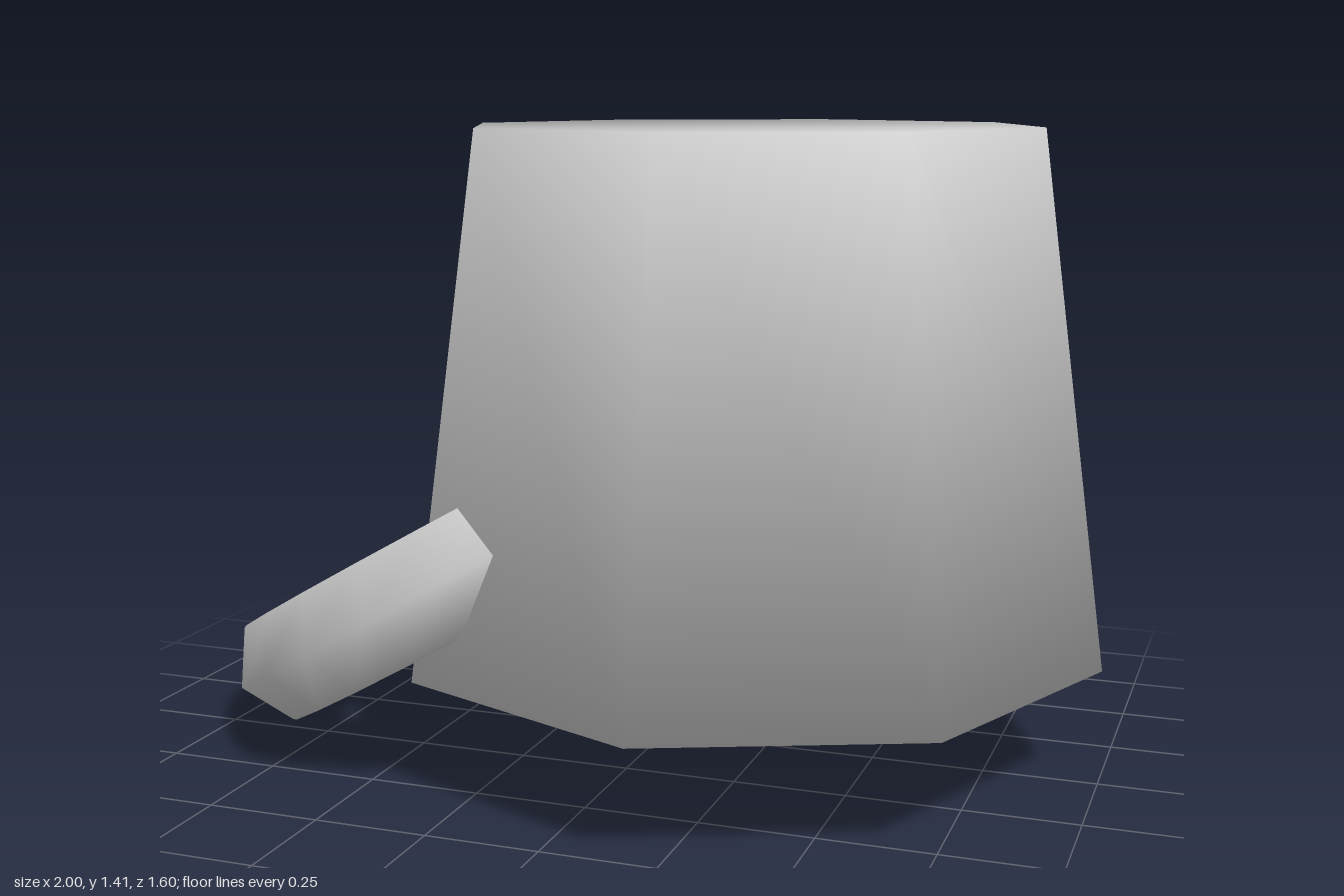
import * as THREE from 'three';

// Skins a list of closed cross-sections and closes both ends
function skin(rings) {
  const m = rings[0].length, last = (rings.length - 1) * m, index = [];
  for (let i = 0; i < rings.length - 1; i++) {
    for (let j = 0; j < m; j++) {
      const k = (j + 1) % m;
      const a = i * m + j, b = i * m + k;
      index.push(a, b, a + m, b, b + m, a + m);
    }
  }
  for (let j = 1; j < m - 1; j++) {
    index.push(0, j + 1, j, last, last + j, last + j + 1);
  }
  const geometry = new THREE.BufferGeometry().setFromPoints(rings.flat());
  geometry.setIndex(index);
  geometry.computeVertexNormals();
  return geometry;
}

// One regular loop of n points, placed by a function of the angle
function loop(n, place) {
  return Array.from({ length: n }, (_, j) => place((j / n) * Math.PI * 2));
}

export function createModel() {
  const group = new THREE.Group();
  const material = new THREE.MeshStandardMaterial({ color: 0xcccccc, side: THREE.DoubleSide });

  // Upturned eight-sided cup: radius, height, then outward and upward softness of the edge
  const profile = [
    [0.64, 1.41, 1, 0.9],
    [0.80, 0.255, 1, -0.9],
    [0.78, 0.255, -1, -0.9],
    [0.622, 1.39, -1, -0.9],
  ];
  const cupGeometry = skin(profile.map(([r, y]) =>
    loop(8, (a) => new THREE.Vector3(r * Math.cos(a), y, r * Math.sin(a)))));
  // Soft normals shared across wall, rim and base
  const normals = profile.flatMap(([, , out, up]) =>
    loop(8, (a) => new THREE.Vector3(out * Math.cos(a), up, out * Math.sin(a)).normalize()));
  normals.forEach((n, i) => cupGeometry.attributes.normal.setXYZ(i, n.x, n.y, n.z));
  const cup = new THREE.Mesh(cupGeometry, material);
  cup.name = 'cup';
  cup.position.x = 0.2;
  group.add(cup);

  // Six-sided ring handle, open by 120 degrees inside the cup and tilted upward
  const R = 0.546, r = 0.139, steps = 16;
  const sections = [];
  for (let i = 0; i <= steps; i++) {
    const t = THREE.MathUtils.degToRad(60 + (240 * i) / steps);
    sections.push(loop(6, (b) => {
      const d = R + r * Math.cos(b);
      return new THREE.Vector3(d * Math.cos(t), r * Math.sin(b), d * Math.sin(t));
    }));
  }
  const handle = new THREE.Mesh(skin(sections), material);
  handle.name = 'handle';
  handle.position.set(-0.407, 0.412, 0);
  handle.rotation.z = Math.PI / 6;
  group.add(handle);

  return group;
}
